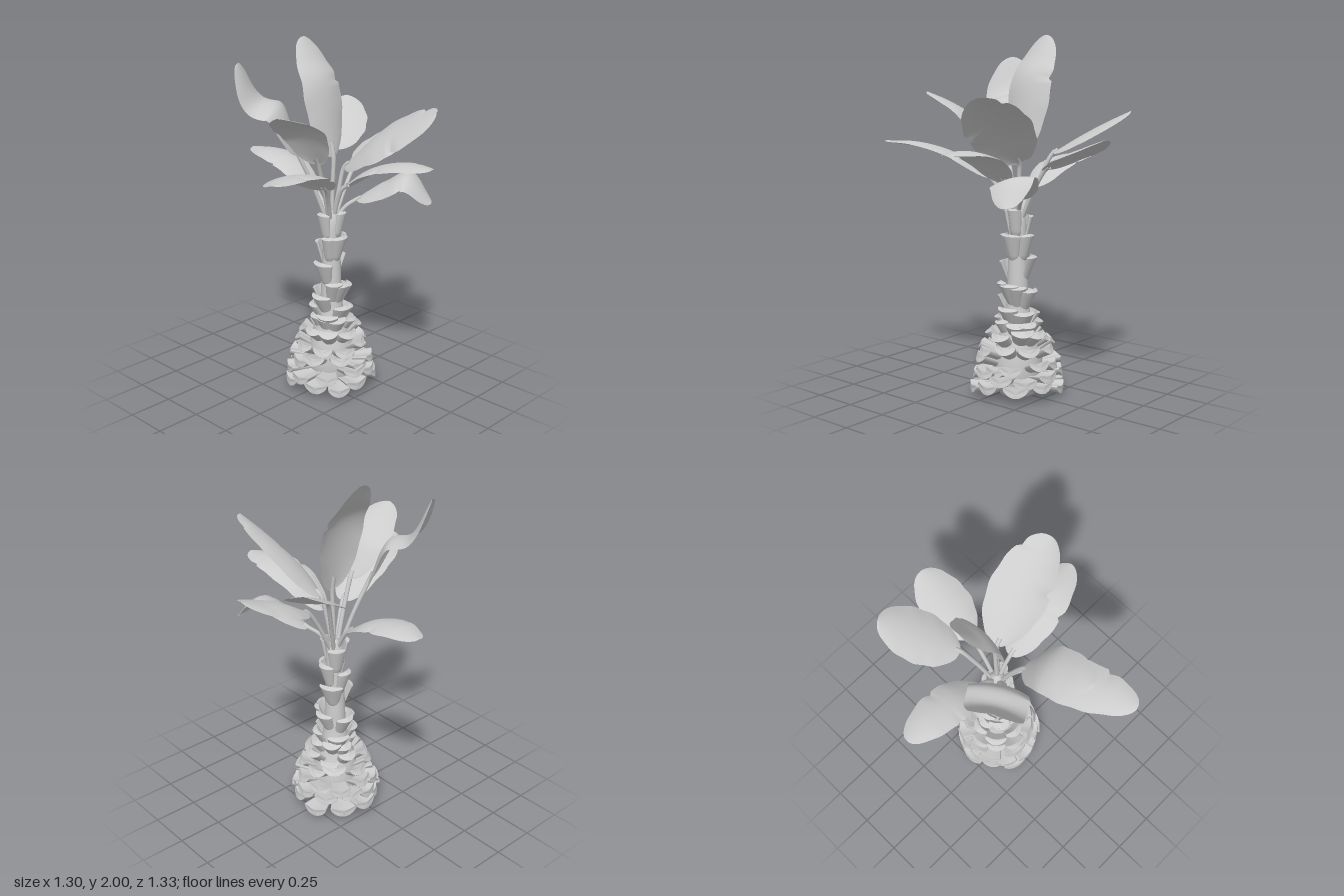
import * as THREE from 'three';

const grey = new THREE.MeshStandardMaterial({ color: 0xcccccc, side: THREE.DoubleSide });
grey.name = 'plain grey';
const UP = new THREE.Vector3(0, 1, 0);
const AXIS_Z = -0.07; // the trunk stands a little behind the centre

let seed = 7;
function rand(a, b) {
  seed = (seed * 16807) % 2147483647;
  return a + (b - a) * seed / 2147483647;
}

function add(parent, geometry, name) {
  const mesh = new THREE.Mesh(geometry, grey);
  mesh.name = name;
  parent.add(mesh);
  return mesh;
}

// Rows of points to a smooth surface; all rows have the same length
function surface(rows) {
  const n = rows[0].length, index = [];
  for (let i = 0; i < rows.length - 1; i++) {
    for (let j = 0; j < n - 1; j++) {
      const a = i * n + j, b = a + n;
      index.push(a, a + 1, b, a + 1, b + 1, b);
    }
  }
  const g = new THREE.BufferGeometry().setFromPoints(rows.flat());
  g.setIndex(index);
  g.computeVertexNormals();
  return g;
}

// Midrib from base to tip, lifted at one third and two thirds
function midrib(base, tip, lift1, lift2) {
  const a = new THREE.Vector3(...base), b = new THREE.Vector3(...tip);
  return new THREE.CatmullRomCurve3([a, a.clone().lerp(b, 1 / 3).addScaledVector(UP, lift1),
    a.clone().lerp(b, 2 / 3).addScaledVector(UP, lift2), b]);
}

// Broad blunt blade along the midrib, edges drooping, with small tears
function leafBlade(curve, half, tilt, tears) {
  const out = curve.getPoint(1).sub(curve.getPoint(0)).setY(0).normalize();
  const side0 = new THREE.Vector3().crossVectors(UP, out).addScaledVector(UP, tilt);
  const rows = [], N = 60, M = 10;
  for (let i = 0; i <= N; i++) {
    const t = (1 - Math.cos(Math.PI * i / N)) / 2; // rows crowd at the rounded ends
    const c = curve.getPointAt(t), T = curve.getTangentAt(t);
    const s = side0.clone().addScaledVector(T, -side0.dot(T)).normalize();
    const up = new THREE.Vector3().crossVectors(T, s);
    const w = half * Math.pow(Math.max(0, Math.sin(Math.PI * t)), 0.45);
    const row = [];
    for (let j = 0; j <= M; j++) {
      const u = j / M * 2 - 1;
      let k = w * (1 + 0.02 * Math.sin(t * 25 + u * 2));
      for (const at of tears) { // the sign tells the edge
        const d = t - Math.abs(at);
        if (at * u > 0 && d >= 0 && d < 0.09) k *= 1 - 0.18 * (1 - d / 0.09);
      }
      row.push(c.clone().addScaledVector(s, u * k).addScaledVector(up, -0.2 * u * u * w));
    }
    rows.push(row);
  }
  return surface(rows);
}

// Cut leaf base: a flaring, cupped wedge pointing along +x with closed ends
function stubGeometry(length, w0, w1, thick) {
  const N = 5, M = 24, rows = [];
  const ring = (t, k) => {
    const w = (w0 + (w1 - w0) * t) / 2, th = thick * (0.6 + 0.4 * t) / 2, row = [];
    for (let j = 0; j <= M; j++) {
      const a = j / M * Math.PI * 2, c = Math.cos(a) * k, s = Math.sin(a);
      row.push(new THREE.Vector3(length * t - 0.18 * w * c * c,
        Math.sign(s) * Math.pow(Math.abs(s), 0.7) * th * k + 0.4 * w * c * c, c * w));
    }
    return row;
  };
  rows.push(ring(0, 0.01));
  for (let i = 0; i <= N; i++) rows.push(ring(i / N, 1));
  rows.push(ring(1, 0.98), ring(1, 0.9), ring(1, 0.01));
  return surface(rows);
}

function addStub(parent, { angle, y, r, tilt, length, w0, w1, thick }) {
  const pivot = new THREE.Group();
  pivot.name = 'leafStub';
  pivot.position.set(0, y, AXIS_Z);
  pivot.rotation.y = angle;
  const mesh = add(pivot, stubGeometry(length, w0, w1, thick), 'leafStubWedge');
  mesh.position.x = r;
  mesh.rotation.z = tilt;
  parent.add(pivot);
}

// Stalk out of the crown, then the blade
function addLeaf(parent, base, tip, lift1, lift2, half, tilt = 0, ...tears) {
  const leaf = new THREE.Group();
  leaf.name = 'leaf';
  const rib = midrib(base, tip, lift1, lift2), [start, next] = rib.points;
  const root = new THREE.Vector3(0, 1, AXIS_Z).lerp(new THREE.Vector3(start.x, 1, start.z), 0.15);
  const bow = root.clone().lerp(start, 0.5).addScaledVector(UP, 0.02);
  const stalk = new THREE.CatmullRomCurve3([root, bow, start, start.clone().lerp(next, 0.2)]);
  add(leaf, leafBlade(rib, half, tilt, tears), 'leafBlade');
  add(leaf, new THREE.TubeGeometry(stalk, 16, 0.012, 8), 'leafStalk');
  parent.add(leaf);
}

// Cut leaf bases on the trunk: heading in degrees, top height, outer width
const TRUNK_STUBS = [[-60, 0.45, 0.13], [150, 0.47, 0.13], [60, 0.48, 0.13], [0, 0.5, 0.14], [-130, 0.5, 0.13],
  [-90, 0.56, 0.14], [180, 0.58, 0.12], [90, 0.6, 0.13], [35, 0.62, 0.11], [0, 0.63, 0.13], [-35, 0.64, 0.1],
  [-90, 0.75, 0.14], [120, 0.78, 0.14], [190, 0.86, 0.1], [0, 0.9, 0.13], [90, 0.9, 0.11], [-60, 0.9, 0.08],
  [150, 1.0, 0.1], [-100, 1.03, 0.1], [20, 1.04, 0.08]];

export function createModel() {
  const model = new THREE.Group();
  model.name = 'palmPlant';

  // Trunk with a swollen foot
  const profile = [[0, 0], [0.1, 0], [0.13, 0.08], [0.14, 0.2], [0.11, 0.32], [0.075, 0.42], [0.06, 0.55],
    [0.048, 0.95], [0.04, 1.04], [0, 1.06]].map(p => new THREE.Vector2(...p));
  add(model, new THREE.LatheGeometry(profile, 28), 'trunk').position.z = AXIS_Z;

  // Dense rows of cut leaf bases round the foot, steeper and shorter upwards
  const foot = new THREE.Group();
  foot.name = 'footStubs';
  model.add(foot);
  for (let k = 0; k < 6; k++) {
    const count = 10 - Math.floor(k * k / 7);
    for (let i = 0; i < count; i++) {
      addStub(foot, {
        angle: (i + (k % 2) / 2 + rand(-0.2, 0.2)) / count * Math.PI * 2,
        y: 0.045 + k * 0.05 + rand(-0.012, 0.012),
        r: 0.075 - k * 0.006,
        tilt: 0.08 + 0.04 * k * k + rand(-0.13, 0.13),
        length: (0.185 - 0.0015 * k * k) * rand(0.9, 1.06),
        w0: 0.06, w1: (0.145 - k * 0.005) * rand(0.88, 1.08), thick: 0.045
      });
    }
  }

  // Upright cut leaf bases up the trunk, closer to it towards the crown
  const upper = new THREE.Group();
  upper.name = 'trunkStubs';
  model.add(upper);
  for (const [heading, top, w1] of TRUNK_STUBS) {
    addStub(upper, {
      angle: heading * Math.PI / 180, y: top - 0.13, r: 0.045, tilt: 1.03 + 0.6 * (top - 0.45),
      length: 0.145, w0: 0.06, w1, thick: 0.032
    });
  }

  // Leaves: base, tip, two lifts, half width, sideways tilt, tears
  const crown = new THREE.Group();
  crown.name = 'leafCrown';
  model.add(crown);
  // Back
  addLeaf(crown, [0, 1.28, -0.26], [0.03, 1.46, -0.665], 0.02, 0.01, 0.138);
  addLeaf(crown, [-0.12, 1.36, -0.22], [-0.35, 1.59, -0.57], 0.01, 0.01, 0.15);
  // Left side
  addLeaf(crown, [0.1, 1.12, -0.17], [0.47, 1.13, -0.37], 0.08, 0.14, 0.125, 0.25, -0.5);
  addLeaf(crown, [0.05, 1.31, -0.12], [0.575, 1.67, -0.25], 0.04, 0.03, 0.17, 0.6, -0.55, 0.82);
  addLeaf(crown, [0.09, 1.2, -0.06], [0.645, 1.4, -0.14], 0.08, 0.07, 0.13, 0, -0.5, 0.75);
  // Front
  addLeaf(crown, [0.08, 1.22, 0.06], [0.29, 1.41, 0.66], 0.07, 0.06, 0.135, 0.15, 0.3, 0.7);
  addLeaf(crown, [0.04, 1.36, 0.08], [0.14, 1.685, 0.47], 0.09, 0.06, 0.13, 0.2);
  addLeaf(crown, [-0.1, 1.39, 0.09], [-0.37, 1.88, 0.27], 0.09, -0.04, 0.16, -0.15);
  // Right side
  addLeaf(crown, [-0.13, 1.16, -0.07], [-0.65, 1.31, -0.08], 0.07, 0.06, 0.12, 0, 0.45, -0.5);
  // Upright centre
  addLeaf(crown, [0, 1.36, -0.085], [-0.23, 2, -0.085], 0.2, 0.1, 0.142, 0, -0.6);

  return model;
}
